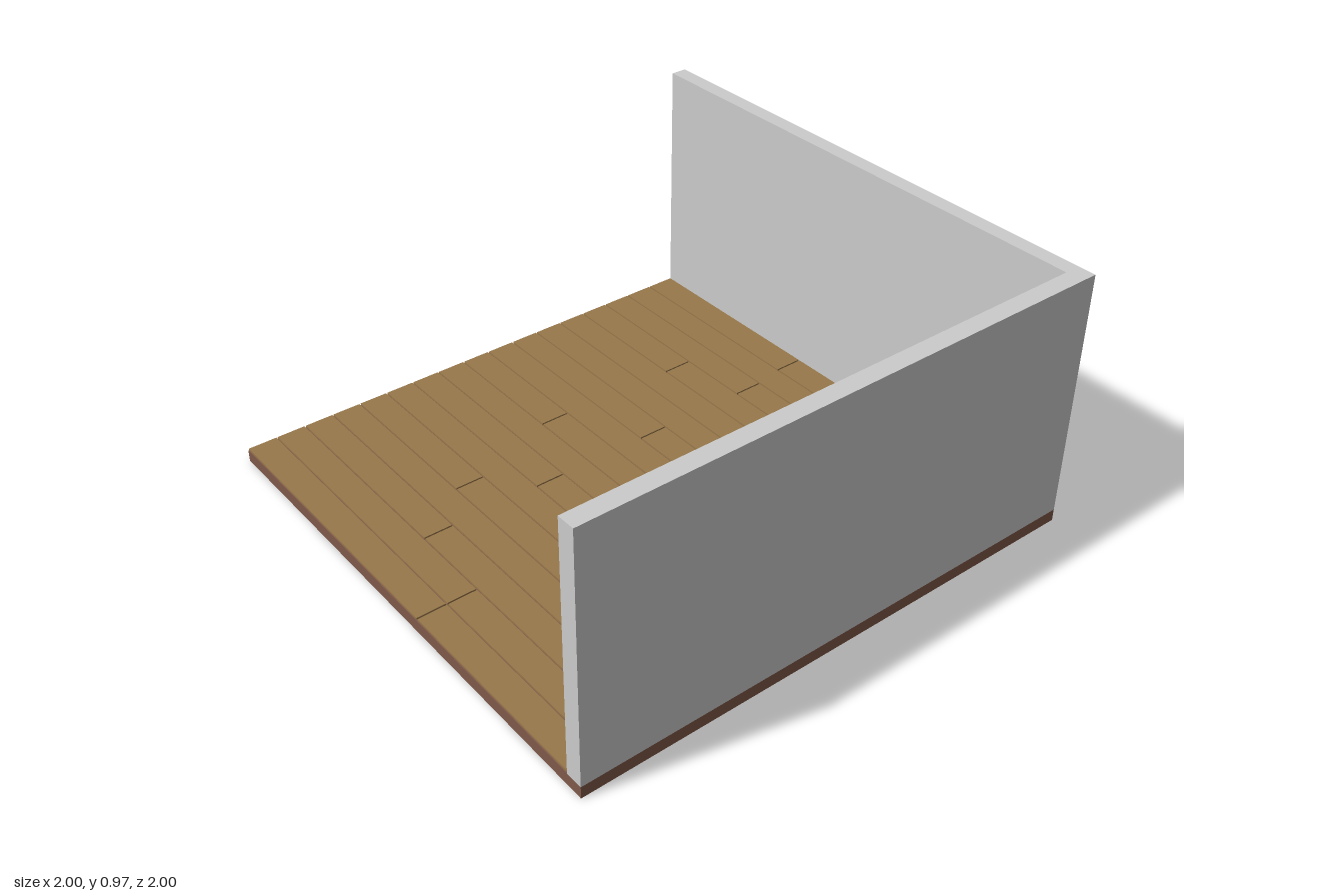
import * as THREE from 'three';

const material = (color) => new THREE.MeshStandardMaterial({ color });
const grey = material(0xcccccc);
const darkGrey = material(0x555555);
const baseBrown = material(0x80594a);
const plankBrown = material(0x98784a);

const BASE_TOP = 0.045, PLANK_TOP = 0.052, WALL_TOP = 0.97;
const INNER_X = 0.935, INNER_Z = -0.94;

// Box given by its lower and upper corners
function box(name, [x0, y0, z0], [x1, y1, z1], mat) {
  const mesh = new THREE.Mesh(new THREE.BoxGeometry(x1 - x0, y1 - y0, z1 - z0), mat);
  mesh.position.set((x0 + x1) / 2, (y0 + y1) / 2, (z0 + z1) / 2);
  mesh.name = name;
  return mesh;
}

// Floorboards: one row per entry, holding the x positions of its joints
function createPlanks() {
  const planks = new THREE.Group();
  planks.name = 'floorboards';
  const wide = [-0.185, 0.63];
  const joints = [
    [-0.21], [0.005], wide, [-0.465], [0.095], [0.405], wide, [0.135], [-0.475],
    [0.135], wide, [0.355], [-0.345], [0.52], wide, [0.135], [0.135],
  ];
  const gap = 0.006;
  const pitch = (0.997 + gap - INNER_Z) / joints.length;
  joints.forEach((row, r) => {
    const z = INNER_Z + r * pitch;
    const ends = [-1 - gap / 2, ...row, INNER_X + gap / 2];
    for (let i = 0; i < ends.length - 1; i++) {
      planks.add(box('floorboard',
        [ends[i] + gap / 2, BASE_TOP, z],
        [ends[i + 1] - gap / 2, PLANK_TOP, z + pitch - gap], plankBrown));
    }
  });
  return planks;
}

// Rectangular frame hung on the inside of the left wall
function createWallFrame() {
  const width = 0.53, height = 0.36, bar = 0.025, depth = 0.007;
  const rectangle = (path, w, h) => path
    .moveTo(-w / 2, -h / 2).lineTo(w / 2, -h / 2).lineTo(w / 2, h / 2).lineTo(-w / 2, h / 2).closePath();
  const shape = new THREE.Shape();
  const hole = new THREE.Path();
  rectangle(shape, width, height);
  rectangle(hole, width - 2 * bar, height - 2 * bar);
  shape.holes.push(hole);
  const frame = new THREE.Mesh(
    new THREE.ExtrudeGeometry(shape, { depth, bevelEnabled: false }), darkGrey);
  frame.rotation.y = -Math.PI / 2;
  frame.position.set(INNER_X, 0.53, 0.265);
  frame.name = 'wallFrame';
  return frame;
}

export function createModel() {
  const room = new THREE.Group();
  room.name = 'room';

  // Base slab with a grey underside
  const slabSides = [baseBrown, baseBrown, baseBrown, grey, baseBrown, baseBrown];
  room.add(box('floorBase', [-1, 0, -1], [1, BASE_TOP, 1], slabSides));
  room.add(createPlanks());

  // Two walls meeting at the back left corner
  room.add(box('backWall', [-1, BASE_TOP, -1], [INNER_X, WALL_TOP, INNER_Z], grey));
  room.add(box('leftWall', [INNER_X, BASE_TOP, -1], [1, WALL_TOP, 1], grey));
  room.add(createWallFrame());
  return room;
}
